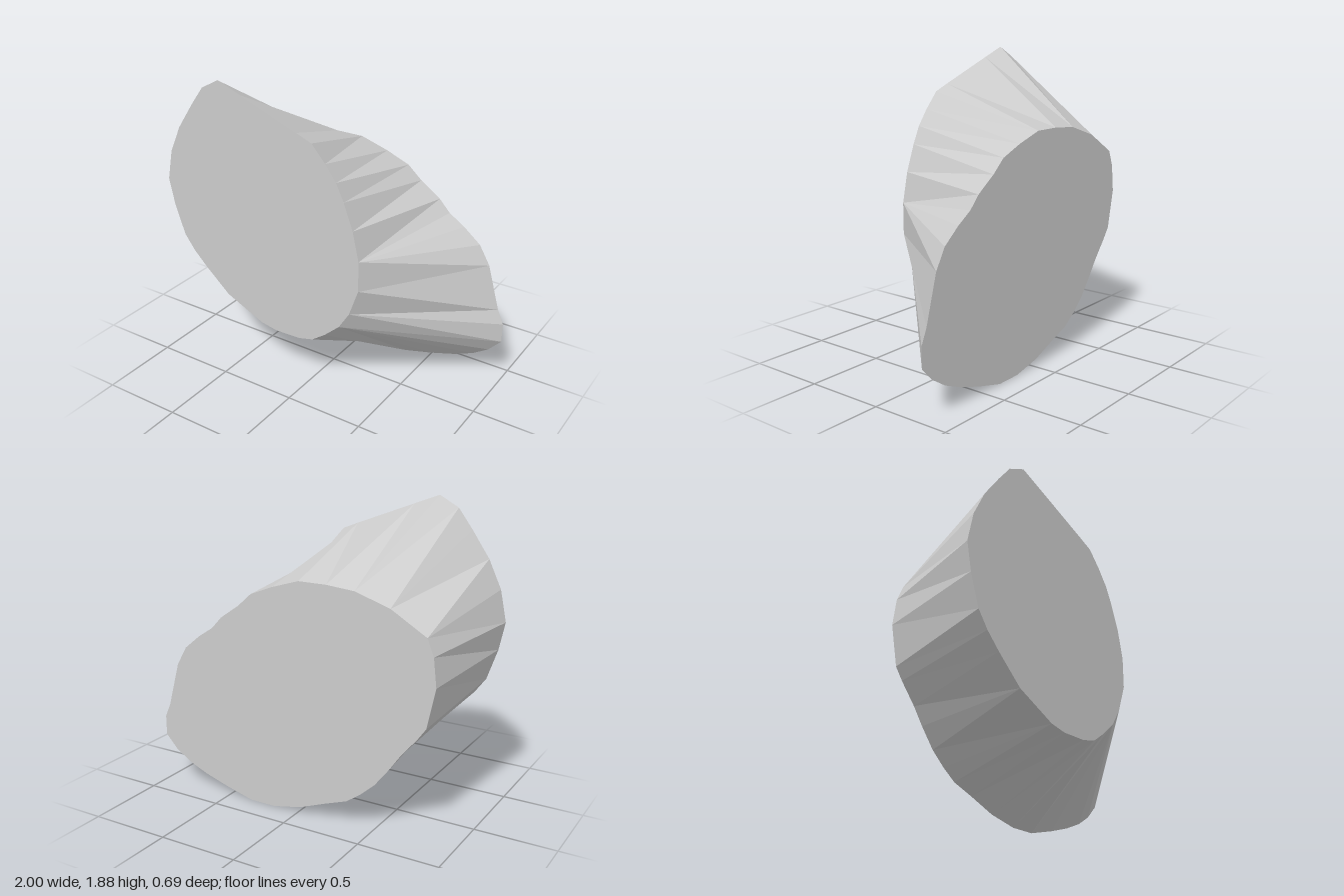
import * as THREE from 'three';

const DEPTH = 0.345;

// Outlines of the two end faces, clockwise as seen from the front
const front = [
  [-0.56, 1.875], [-0.4, 1.815], [-0.02, 1.67], [0.08, 1.63], [0.17, 1.53], [0.24, 1.435],
  [0.29, 1.33], [0.35, 1.17], [0.39, 0.99], [0.39, 0.8], [0.33, 0.63], [0.26, 0.52],
  [0.16, 0.43], [0.07, 0.365], [-0.03, 0.34], [-0.2, 0.335], [-0.31, 0.355], [-0.57, 0.475],
  [-0.74, 0.625], [-0.83, 0.715], [-0.9, 0.81], [-0.965, 1], [-1, 1.17], [-0.96, 1.36],
  [-0.88, 1.53], [-0.77, 1.69], [-0.68, 1.81],
];
const back = [
  [-0.2, 1.435], [-0.02, 1.435], [0.16, 1.38], [0.31, 1.32], [0.4, 1.24], [0.53, 1.15],
  [0.6, 1.075], [0.7, 1.01], [0.81, 0.92], [0.88, 0.8], [0.96, 0.52], [1, 0.43], [1, 0.305],
  [0.92, 0.22], [0.82, 0.155], [0.69, 0.1], [0.53, 0.05], [0.34, 0], [0.17, 0], [-0.02, 0.04],
  [-0.2, 0.11], [-0.34, 0.16], [-0.43, 0.225], [-0.52, 0.305], [-0.61, 0.42], [-0.68, 0.52],
  [-0.78, 0.64], [-0.83, 0.71], [-0.88, 0.95], [-0.86, 1.12], [-0.82, 1.22], [-0.6, 1.35],
  [-0.38, 1.42],
];
// Ridges and creases joining a front corner to a back corner
const creases = [[1, 0], [5, 3], [8, 6], [8, 9], [9, 10], [11, 12], [15, 20], [19, 27],
  [1 + front.length, back.length]];

const F = (i) => front[i % front.length];
const B = (j) => back[j % back.length];
const dist = (a, b) => Math.hypot(a[0] - b[0], a[1] - b[1]);

// Zip the outlines together, taking the shorter diagonal at each step
function wallGeometry() {
  const pos = [];
  const add = (p, z) => pos.push(p[0], p[1], z);
  for (let k = 0; k < creases.length - 1; k++) {
    let [i, j] = creases[k];
    const [iEnd, jEnd] = creases[k + 1];
    while (i < iEnd || j < jEnd) {
      const stepFront = j === jEnd || (i < iEnd && dist(F(i + 1), B(j)) < dist(F(i), B(j + 1)));
      add(F(i), DEPTH);
      if (stepFront) {
        add(F(i + 1), DEPTH);
        add(B(j), -DEPTH);
        i++;
      } else {
        add(B(j + 1), -DEPTH);
        add(B(j), -DEPTH);
        j++;
      }
    }
  }
  const geo = new THREE.BufferGeometry();
  geo.setAttribute('position', new THREE.Float32BufferAttribute(pos, 3));
  geo.computeVertexNormals();
  return geo;
}

// Flat end face; the back one is mirrored, then turned around
function capGeometry(points, isBack) {
  const s = isBack ? -1 : 1;
  const geo = new THREE.ShapeGeometry(
    new THREE.Shape(points.map(([x, y]) => new THREE.Vector2(s * x, y))));
  if (isBack) geo.rotateY(Math.PI);
  return geo.translate(0, 0, s * DEPTH);
}

export function createModel() {
  const group = new THREE.Group();
  group.name = 'slantedBlock';
  const material = new THREE.MeshStandardMaterial({ color: 0xcccccc, flatShading: true });
  const add = (name, geo) => {
    const mesh = new THREE.Mesh(geo, material);
    mesh.name = name;
    group.add(mesh);
  };
  add('facetedWall', wallGeometry());
  add('frontFace', capGeometry(front, false));
  add('backFace', capGeometry(back, true));
  return group;
}
